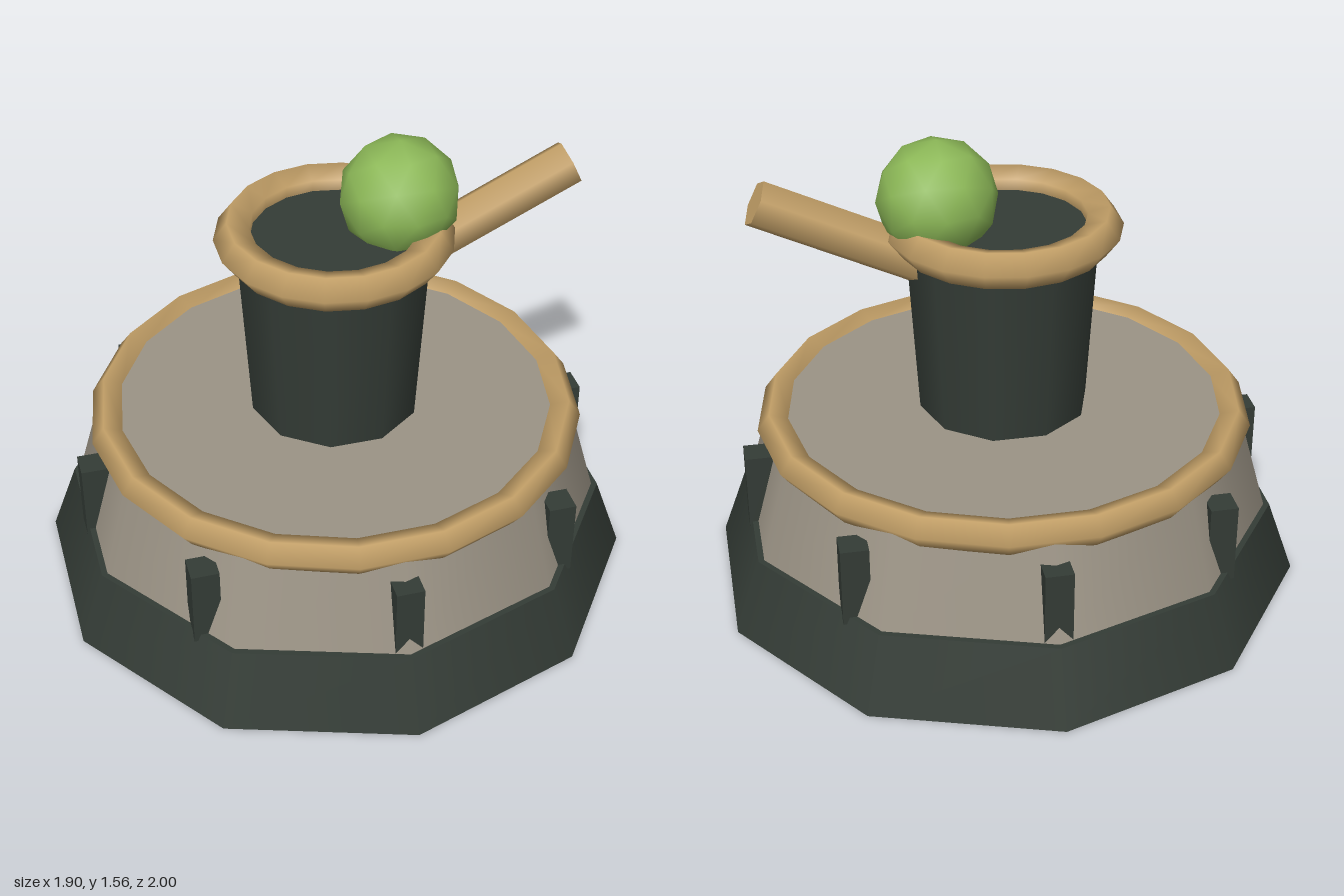
import * as THREE from 'three';

const mat = (name, color) => {
  const m = new THREE.MeshStandardMaterial({ color });
  m.name = name;
  return m;
};

export function createModel() {
  const darkIron = mat('darkIron', 0x343c36);
  const stone = mat('stone', 0x9c9486);
  const tan = mat('tanTrim', 0xc29f67);
  const green = mat('green', 0x8cb857);

  const model = new THREE.Group();
  model.name = 'turret';
  const add = (parent, name, geometry, material, x = 0, y = 0, z = 0) => {
    const mesh = new THREE.Mesh(geometry, material);
    mesh.name = name;
    mesh.position.set(x, y, z);
    parent.add(mesh);
    return mesh;
  };
  // Tapered ten-sided column between two heights
  const column = (parent, name, rTop, rBottom, y0, y1, material) =>
    add(parent, name, new THREE.CylinderGeometry(rTop, rBottom, y1 - y0, 10), material, 0, (y0 + y1) / 2);
  // Ring with a five-sided section, lying flat
  const ring = (parent, name, radius, tube, y) =>
    add(parent, name, new THREE.TorusGeometry(radius, tube, 5, 18).rotateX(Math.PI / 2), tan, 0, y);

  // Base and drum
  column(model, 'base', 0.91, 1, 0, 0.25, darkIron);
  column(model, 'drum', 0.787, 0.89, 0.25, 0.61, stone);
  ring(model, 'drumRim', 0.767, 0.058, 0.575);

  // Eight square posts around the drum
  const post = new THREE.BoxGeometry(0.09, 0.27, 0.09);
  for (let i = 0; i < 8; i++) {
    const a = (i * Math.PI) / 4;
    add(model, 'post', post, darkIron, 0.83 * Math.sin(a), 0.36, 0.83 * Math.cos(a));
  }

  // Upper part, built facing +z and turned to +x
  const top = new THREE.Group();
  top.name = 'upperPart';
  top.rotation.y = Math.PI / 2;
  model.add(top);
  column(top, 'tower', 0.32, 0.282, 0.61, 1.25, darkIron);
  ring(top, 'towerRim', 0.321, 0.064, 1.25);
  add(top, 'ball', new THREE.IcosahedronGeometry(0.196, 1), green, 0, 1.36, 0.213);

  // Slanted barrel leaving the tower below its rim
  const tilt = 0.445, length = 0.66;
  const barrel = add(top, 'barrel', new THREE.CylinderGeometry(0.078, 0.078, length, 6), tan,
    0, 1.392 - (length / 2) * Math.sin(tilt), 0.783 - (length / 2) * Math.cos(tilt));
  barrel.rotation.x = Math.PI / 2 - tilt;

  return model;
}
